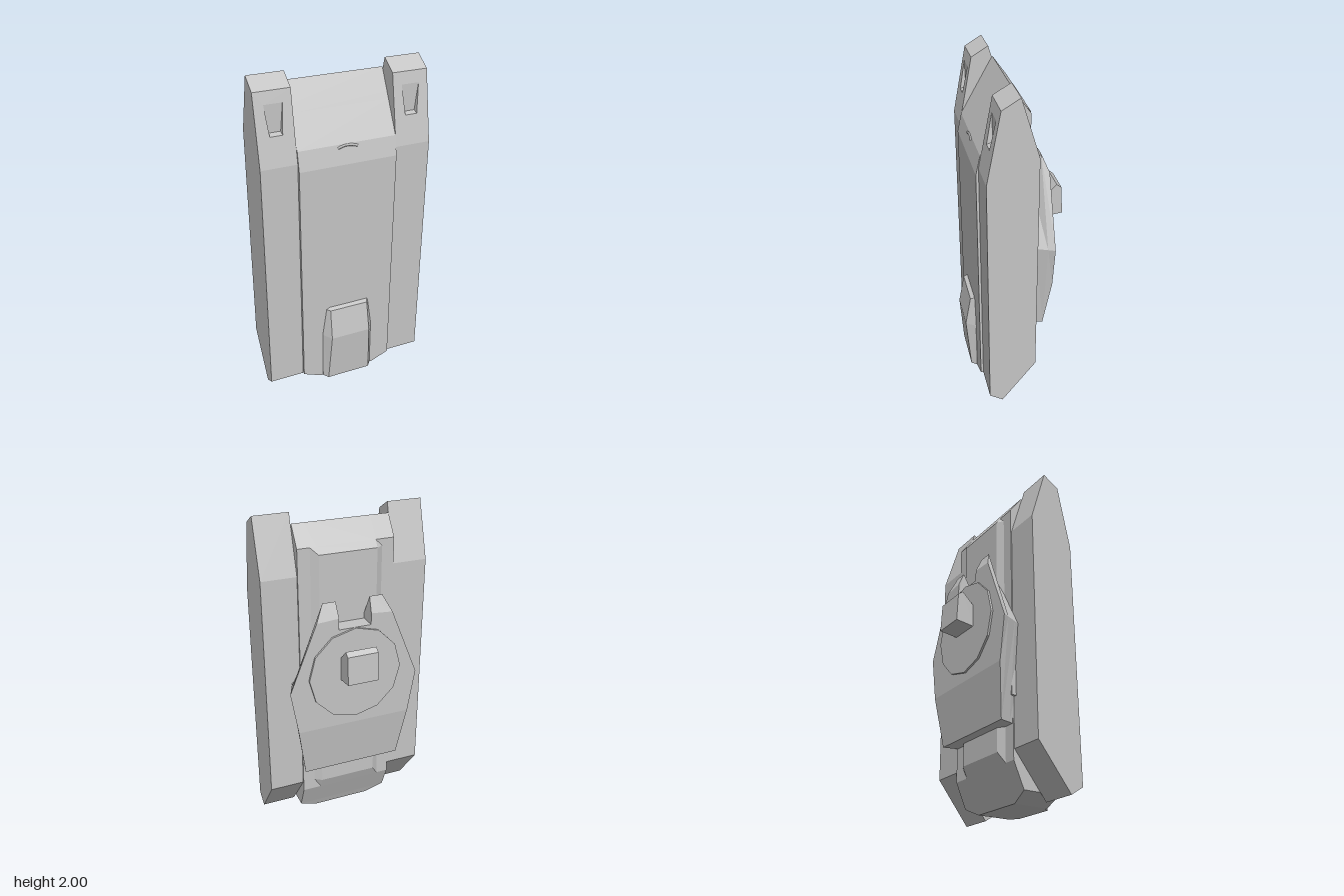
import * as THREE from 'three';

const grey = new THREE.MeshStandardMaterial({ color: 0xc4c4c4 });
grey.name = 'light grey';

// Closed flat-shaded solid from consistently wound polygons; turned outward by its signed volume
function solid(name, faces) {
  const tris = [];
  for (const f of faces) {
    const p = f.map(a => new THREE.Vector3(...a));
    const n = new THREE.Vector3();
    p.forEach((a, i) => n.add(a.clone().cross(p[(i + 1) % p.length])));
    if (n.length() < 1e-7) continue;
    const m = [Math.abs(n.x), Math.abs(n.y), Math.abs(n.z)];
    const k = m.indexOf(Math.max(...m));
    const flat = f.map(a => new THREE.Vector2(a[(k + 1) % 3], a[(k + 2) % 3]));
    for (const [i, j, l] of THREE.ShapeUtils.triangulateShape(flat, [])) {
      const c = p[j].clone().sub(p[i]).cross(p[l].clone().sub(p[i]));
      tris.push(c.dot(n) < 0 ? [p[i], p[l], p[j]] : [p[i], p[j], p[l]]);
    }
  }
  const volume = tris.reduce((s, [a, b, c]) => s + a.dot(b.clone().cross(c)), 0);
  if (volume < 0) tris.forEach(t => t.reverse());
  const g = new THREE.BufferGeometry().setFromPoints(tris.flat());
  g.computeVertexNormals();
  const mesh = new THREE.Mesh(g, grey);
  mesh.name = name;
  return mesh;
}

// Solid through a row of matching rings
function loft(name, rings) {
  const faces = [[...rings[0]].reverse(), rings[rings.length - 1]];
  for (let r = 0; r + 1 < rings.length; r++) {
    const a = rings[r], b = rings[r + 1];
    a.forEach((_, i) => {
      const j = (i + 1) % a.length;
      faces.push([a[i], a[j], b[j], b[i]]);
    });
  }
  return solid(name, faces);
}

// Half outline completed by its mirror image
const mirrored = half => [...half, ...half.map(([x, y, z]) => [-x, y, z]).reverse()];

// Track pod: side profile pushed across x, with a wedge-shaped vent in the upper front slope
function trackPod(name, s) {
  const profile = [[0.235, 1.53], [0.155, 1.94], [0.053, 2], [-0.05, 1.66], [-0.05, 0.265], [0.155, 0], [0.235, 0.05]];
  const at = x => profile.map(([z, y]) => [s * x, y, z]);
  const a = at(0.297), b = at(0.51);
  const faces = [[...a].reverse(), b];
  for (let i = 1; i < a.length; i++) {
    const j = (i + 1) % a.length;
    faces.push([a[i], a[j], b[j], b[i]]);
  }
  const slope = y => 0.235 - (y - 1.53) * 0.08 / 0.41;
  const hole = [[0.365, 1.7], [0.35, 1.87], [0.455, 1.87], [0.437, 1.7]].map(([x, y]) => [s * x, y, slope(y)]);
  const rim = [a[0], a[1], b[1], b[0]];
  for (let i = 0; i < 4; i++) {
    const j = (i + 1) % 4;
    faces.push([rim[i], rim[j], hole[j], hole[i]]);
  }
  const [p, q, r, t] = hole, zb = slope(1.87);
  const p2 = [p[0], 1.71, zb], t2 = [t[0], 1.71, zb];
  faces.push([p, q, p2], [t, t2, r], [p, p2, t2, t], [p2, q, r, t2]);
  return solid(name, faces);
}

export function createModel() {
  const model = new THREE.Group();
  model.name = 'armouredVehicle';

  // Hull sections: height, half width, front z, rear z
  const hull = [
    [0, 0.18, 0.25, 0.03], [0.05, 0.295, 0.25, 0.01], [0.203, 0.295, 0.25, -0.055], [0.27, 0.295, 0.25, -0.083],
    [1.485, 0.295, 0.25, -0.083], [1.6, 0.295, 0.225, -0.083], [1.78, 0.295, 0.122, -0.083],
    [1.82, 0.295, 0.099, -0.055], [1.94, 0.295, 0.03, 0.03],
  ];
  model.add(loft('hull', hull.map(([y, w, zf, zb]) => {
    const edge = Math.max(zb, -0.055);
    return mirrored([[w, y, zf], [w, y, edge], [Math.min(w, 0.22), y, edge], [Math.min(w, 0.178), y, zb]]);
  })));

  model.add(trackPod('leftTrack', 1), trackPod('rightTrack', -1));

  // Tapered housing low on the front: height, inner and outer half width, front z
  const housing = [[0, 0.14, 0.165, 0.285], [0.33, 0.125, 0.165, 0.31], [0.52, 0.122, 0.138, 0.275], [0.53, 0.122, 0.133, 0.25]];
  model.add(loft('frontHousing', housing.map(([y, wi, wo, z]) =>
    mirrored([[wo, y, 0.235], [wo, y, Math.min(z, 0.252)], [wi, y, z]]))));

  // Turret: forked upper end, widest at mid height, narrowing toward the hull
  const turret = [
    [-0.185, [[0.1, 1.36], [0.1, 1.43], [0.235, 1.42], [0.405, 1], [0.36, 0.73]]],
    [-0.145, [[0.1, 1.36], [0.105, 1.52], [0.185, 1.52], [0.388, 1], [0.31, 0.41]]],
    [-0.08, [[0.1, 1.36], [0.1, 1.39], [0.155, 1.39], [0.36, 1], [0.295, 0.41]]],
    [0.05, [[0.08, 1.05], [0.08, 1.1], [0.12, 1.1], [0.303, 1], [0.26, 0.41]]],
  ];
  model.add(loft('turret', turret.map(([z, pts]) => mirrored(pts.map(([x, y]) => [x, y, z])))));

  // Round plate on the turret
  const plate = new THREE.Mesh(
    new THREE.CylinderGeometry(0.29, 0.29, 0.02, 12).rotateX(Math.PI / 2).toNonIndexed(), grey);
  plate.geometry.computeVertexNormals();
  plate.name = 'turretPlate';
  plate.position.set(0, 1.07, -0.188);
  model.add(plate);

  // Sight block standing on the plate
  const sight = [[-0.19, 1.045], [-0.311, 1.06], [-0.302, 1.235], [-0.272, 1.258], [-0.19, 1.18]];
  model.add(loft('sightBlock', [-0.095, 0.095].map(x => sight.map(([z, y]) => [x, y, z]))));

  // Small bracket beside the turret
  const bracket = new THREE.Mesh(new THREE.BoxGeometry(0.04, 0.15, 0.13), grey);
  bracket.name = 'sideBracket';
  bracket.position.set(-0.3, 0.64, -0.015);
  model.add(bracket);

  // Low curved grip on the front bevel
  const grip = new THREE.Mesh(new THREE.TubeGeometry(new THREE.QuadraticBezierCurve3(
    new THREE.Vector3(-0.06, 1.58, 0.229), new THREE.Vector3(0, 1.605, 0.223), new THREE.Vector3(0.06, 1.58, 0.229)),
  8, 0.008, 5), grey);
  grip.name = 'frontGrip';
  model.add(grip);

  return model;
}
